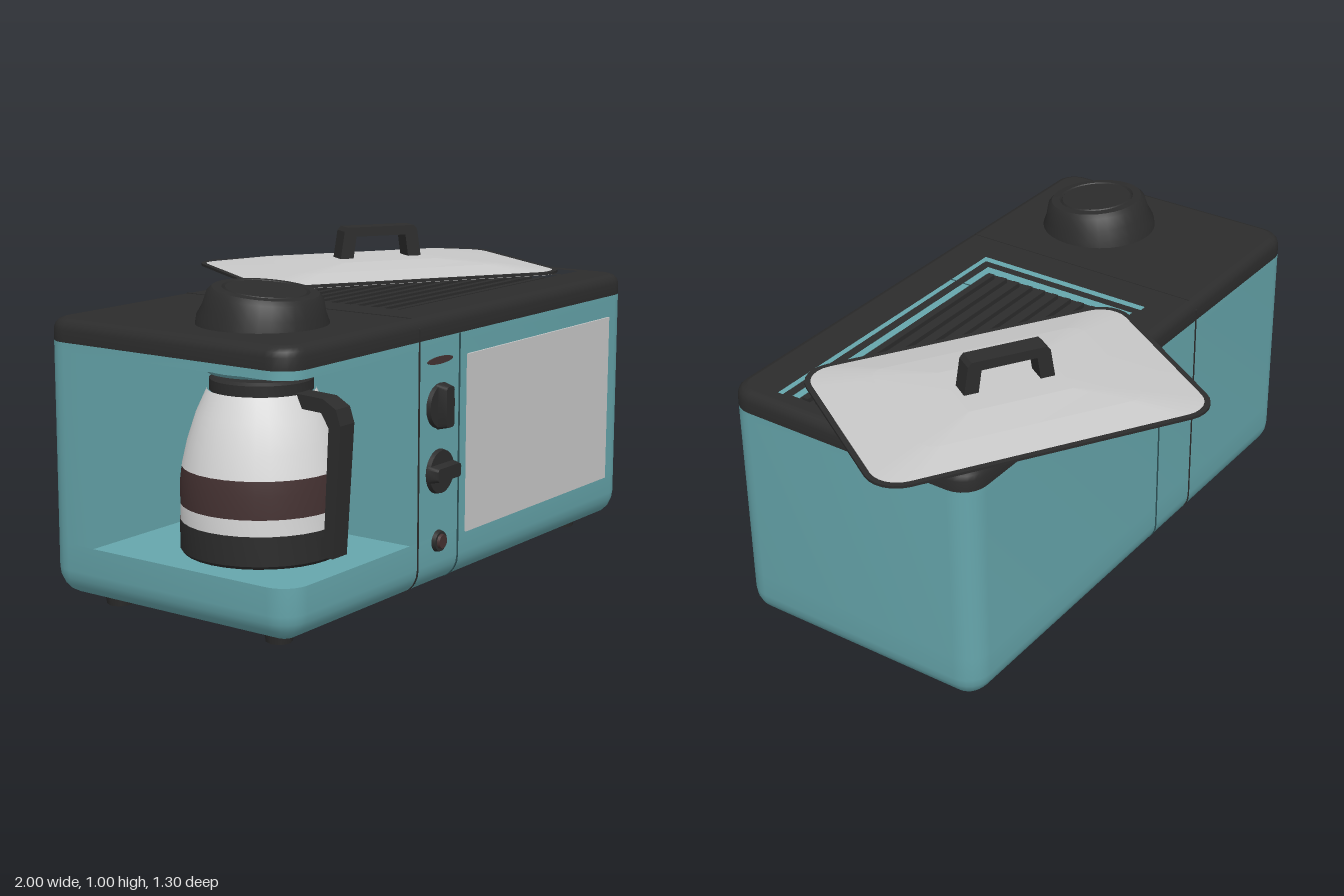
import * as THREE from 'three';
import { toCreasedNormals } from 'three/addons/utils/BufferGeometryUtils.js';

const mat = (name, color, side = THREE.FrontSide) => Object.assign(new THREE.MeshStandardMaterial({ color, side }), { name });

// Rounded rectangle ring at height y; the corner centres stay put as it is inset
function ring(x0, x1, z0, z1, r, y, inset = 0) {
  const pts = [], n = 6, rad = Math.max(r - inset, 0.001);
  const centres = [[x1 - r, z1 - r], [x0 + r, z1 - r], [x0 + r, z0 + r], [x1 - r, z0 + r]];
  centres.forEach(([cx, cz], k) => {
    for (let i = 0; i <= n; i++) {
      const a = (k + i / n) * Math.PI / 2;
      pts.push(new THREE.Vector3(cx + rad * Math.cos(a), y, cz + rad * Math.sin(a)));
    }
  });
  return pts;
}

// Skin over rings from bottom to top, with optional caps
function loft(rings, crease = 0.6, top = true, bottom = true) {
  const pos = [], tri = (...v) => v.forEach(p => pos.push(p.x, p.y, p.z));
  const n = rings[0].length;
  const mid = r => r.reduce((s, p) => s.add(p), new THREE.Vector3()).divideScalar(n);
  const first = rings[0], last = rings[rings.length - 1], c0 = mid(first), c1 = mid(last);
  for (let i = 0; i < n; i++) {
    const j = (i + 1) % n;
    for (let k = 0; k < rings.length - 1; k++) {
      const a = rings[k], b = rings[k + 1];
      tri(a[i], b[i], a[j]);
      tri(b[i], b[j], a[j]);
    }
    if (bottom) tri(c0, first[i], first[j]);
    if (top) tri(c1, last[j], last[i]);
  }
  const g = new THREE.BufferGeometry();
  g.setAttribute('position', new THREE.Float32BufferAttribute(pos, 3));
  return toCreasedNormals(g, crease);
}

const planPath = pts => pts.map(p => new THREE.Vector2(p.x, -p.z));
const rect = (x0, x1, z0, z1) => [[x0, z0], [x1, z0], [x1, z1], [x0, z1]].map(([x, z]) => new THREE.Vector2(x, -z));

// Upright prism of a plan shape between two heights
function prism(outline, hole, y0, y1) {
  const s = new THREE.Shape(outline);
  if (hole) s.holes.push(new THREE.Path(hole));
  const g = new THREE.ExtrudeGeometry(s, { depth: y1 - y0, bevelEnabled: false });
  return toCreasedNormals(g.rotateX(-Math.PI / 2).translate(0, y0, 0), 0.6);
}

// Slice of a side outline given as [z, y], centred on x
function sideSlice(pts, width, x) {
  const s = new THREE.Shape(pts.map(([z, y]) => new THREE.Vector2(z, y)));
  const g = new THREE.ExtrudeGeometry(s, { depth: width, bevelEnabled: false });
  return g.rotateY(-Math.PI / 2).translate(x + width / 2, 0, 0);
}

export function createModel() {
  const model = new THREE.Group();
  const teal = mat('teal enamel', 0x66a6ac), black = mat('black plastic', 0x2c2c2c);
  const silver = mat('silver', 0xc8c8c8), glass = mat('pale glass', 0xdadada);
  const coffee = mat('coffee brown', 0x453232), seamMat = mat('dark teal seam', 0x2e5257);
  const add = (name, geo, material, parent = model) => {
    const m = new THREE.Mesh(geo, material);
    m.name = name;
    parent.add(m);
    return m;
  };
  const box = (name, w, h, d, x, y, z, m, p) => add(name, new THREE.BoxGeometry(w, h, d).translate(x, y, z), m, p);
  const X0 = -1, X1 = 0.83, Z0 = -0.28, Z1 = 0.61, R = 0.08;
  const foot = (y, inset) => ring(X0, X1, Z0, Z1, R, y, inset);

  // Base with rounded underside
  const baseRings = [];
  for (let i = 0; i <= 5; i++) {
    const a = i / 5 * Math.PI / 2;
    baseRings.push(foot(0.12 - 0.08 * Math.cos(a), 0.075 * (1 - Math.sin(a))));
  }
  baseRings.push(foot(0.2));
  add('base', loft(baseRings), teal);

  // L-shaped middle, leaving the alcove open at front and side
  const full = foot(0), alcoveX = -0.435, alcoveZ = -0.1;
  const kept = full.filter((p, i) => i < 7 || i >= 14);
  kept.splice(7, 0, new THREE.Vector3(alcoveX, 0, Z1), new THREE.Vector3(alcoveX, 0, alcoveZ), new THREE.Vector3(X0, 0, alcoveZ));
  add('housing', prism(planPath(kept), null, 0.2, 0.765), teal);
  add('roofTrim', loft([foot(0.765), foot(0.79)]), teal);

  // Black top with a stepped griddle recess
  add('topEdge', loft([foot(0.79), foot(0.825), foot(0.84, 0.005), foot(0.85, 0.015), foot(0.855, 0.03)], 0.6, false, false), black);
  const topShape = new THREE.Shape(planPath(foot(0, 0.03)));
  topShape.holes.push(new THREE.Path(rect(-0.28, 0.77, -0.16, 0.46)));
  add('topPanel', new THREE.ShapeGeometry(topShape).rotateX(-Math.PI / 2).translate(0, 0.855, 0), black);
  add('recessWall', prism(rect(-0.3, 0.79, -0.18, 0.48), rect(-0.28, 0.77, -0.16, 0.46), 0.79, 0.854), black);
  add('recessStep', prism(rect(-0.28, 0.77, -0.16, 0.46), rect(-0.25, 0.74, -0.13, 0.43), 0.79, 0.838), black);
  box('griddle', 0.99, 0.02, 0.56, 0.245, 0.805, 0.15, black);
  for (let i = 0; i < 11; i++) box('griddleRib', 0.95, 0.016, 0.022, 0.245, 0.822, -0.1 + i * 0.05, black);

  // Seams that wrap round the body
  for (const [x, top] of [[-0.395, 0.857], [-0.185, 0.79]]) {
    const pts = ring(Z0 - 0.002, Z1 + 0.002, 0.038, 0.7, 0.08, 0).filter((p, i) => i >= 14).map(p => [p.x, p.z]);
    const t = top > 0.8 ? 0.03 : 0;
    pts.push([Z1 + 0.002, top - t], [Z1 + 0.002 - t, top], [Z0 - 0.002 + t, top], [Z0 - 0.002, top - t]);
    add('seam', sideSlice(t ? pts : pts.filter((p, i) => i < pts.length - 3 || i === pts.length - 1), 0.006, x), top > 0.8 ? black : seamMat);
  }

  // Feet
  for (const x of [-0.86, 0.69]) for (const z of [-0.13, 0.465]) {
    const f = add('foot', new THREE.CylinderGeometry(0.048, 0.038, 0.06, 8), black);
    f.position.set(x, 0.03, z);
  }

  // Oven window
  box('ovenWindow', 0.85, 0.54, 0.008, 0.28, 0.452, 0.612, silver);

  // Control panel
  const disc = (name, r0, r1, depth, y, z, m) => {
    const g = new THREE.CylinderGeometry(r1, r0, depth, 24).rotateX(Math.PI / 2);
    return add(name, g.translate(-0.29, y, z + depth / 2), m);
  };
  for (const [y, upright] of [[0.59, true], [0.395, false]]) {
    disc('knob', 0.068, 0.064, 0.018, y, 0.605, black);
    const grip = loft([ring(-0.068, 0.068, -0.026, 0.026, 0.012, 0), ring(-0.06, 0.06, -0.02, 0.02, 0.01, 0.034)]);
    grip.rotateX(Math.PI / 2);
    if (upright) grip.rotateZ(Math.PI / 2);
    add('knobGrip', grip.translate(-0.29, y, 0.616), black);
  }
  disc('lampRing', 0.034, 0.03, 0.015, 0.185, 0.607, black);
  disc('lamp', 0.026, 0.02, 0.02, 0.185, 0.61, coffee);
  const slot = add('indicatorPlate', new THREE.CylinderGeometry(1, 1, 0.008, 24).rotateX(Math.PI / 2), coffee);
  slot.scale.set(0.065, 0.011, 1);
  slot.position.set(-0.29, 0.724, 0.61);

  // Tilted reservoir cap
  const lathe = pts => toCreasedNormals(new THREE.LatheGeometry(pts.map(p => new THREE.Vector2(...p)), 32), 0.6);
  const cap = add('reservoirCap', lathe([[0.195, -0.05], [0.19, 0.012], [0.175, 0.045], [0.165, 0.085], [0.152, 0.098],
    [0.125, 0.1], [0.12, 0.094], [0.115, 0.1], [0, 0.1]]), black);
  cap.position.set(-0.7, 0.852, 0.288);
  cap.rotation.x = 0.1;

  // Coffee pot
  const pot = new THREE.Group();
  pot.name = 'coffeePot';
  pot.position.set(-0.7, 0, 0.28);
  model.add(pot);
  add('brewOutlet', lathe([[0, 0.72], [0.155, 0.72], [0.165, 0.73], [0.165, 0.768]]), teal, pot);
  add('potBase', lathe([[0, 0.201], [0.228, 0.201], [0.235, 0.21], [0.236, 0.295], [0, 0.295]]), black, pot);
  add('lowerGlass', lathe([[0.234, 0.295], [0.234, 0.342]]), glass, pot);
  add('coffeeBand', lathe([[0.234, 0.342], [0.234, 0.41], [0.229, 0.45]]), coffee, pot);
  add('upperGlass', lathe([[0.229, 0.45], [0.213, 0.52], [0.187, 0.6], [0.155, 0.67]]), glass, pot);
  add('potCollar', lathe([[0.14, 0.66], [0.148, 0.668], [0.148, 0.7], [0.138, 0.708], [0, 0.708]]), black, pot);
  add('potHandle', sideSlice([[0.13, 0.635], [0.13, 0.675], [0.24, 0.67], [0.285, 0.645], [0.3, 0.6], [0.275, 0.22],
    [0.22, 0.22], [0.22, 0.27], [0.245, 0.28], [0.26, 0.59], [0.235, 0.63]], 0.066, 0), black, pot);

  // Lid, turned on top of the griddle
  const lid = new THREE.Group();
  lid.name = 'lid';
  lid.position.set(0.4, 0, -0.1);
  lid.rotation.y = -0.56;
  model.add(lid);
  const lidRing = (a, b, r, y) => ring(-a, a, -b, b, r, y);
  add('lidDome', loft([lidRing(0.525, 0.35, 0.095, 0.857), lidRing(0.525, 0.35, 0.095, 0.863), lidRing(0.345, 0.235, 0.05, 0.886),
    lidRing(0.165, 0.12, 0.005, 0.9)], 0.03), silver, lid);
  add('lidRim', prism(planPath(lidRing(0.53, 0.357, 0.1, 0)), planPath(lidRing(0.513, 0.34, 0.085, 0)), 0.859, 0.867), black, lid);
  const arch = new THREE.Shape([[-0.146, 0.888], [-0.1, 0.888], [-0.088, 0.972], [0.088, 0.972], [0.1, 0.888], [0.146, 0.888],
    [0.13, 0.99], [0.118, 1.003], [-0.118, 1.003], [-0.13, 0.99]].map(p => new THREE.Vector2(...p)));
  add('lidHandle', new THREE.ExtrudeGeometry(arch, { depth: 0.066, bevelEnabled: false }).translate(0, 0, -0.033), black, lid);

  return model;
}
